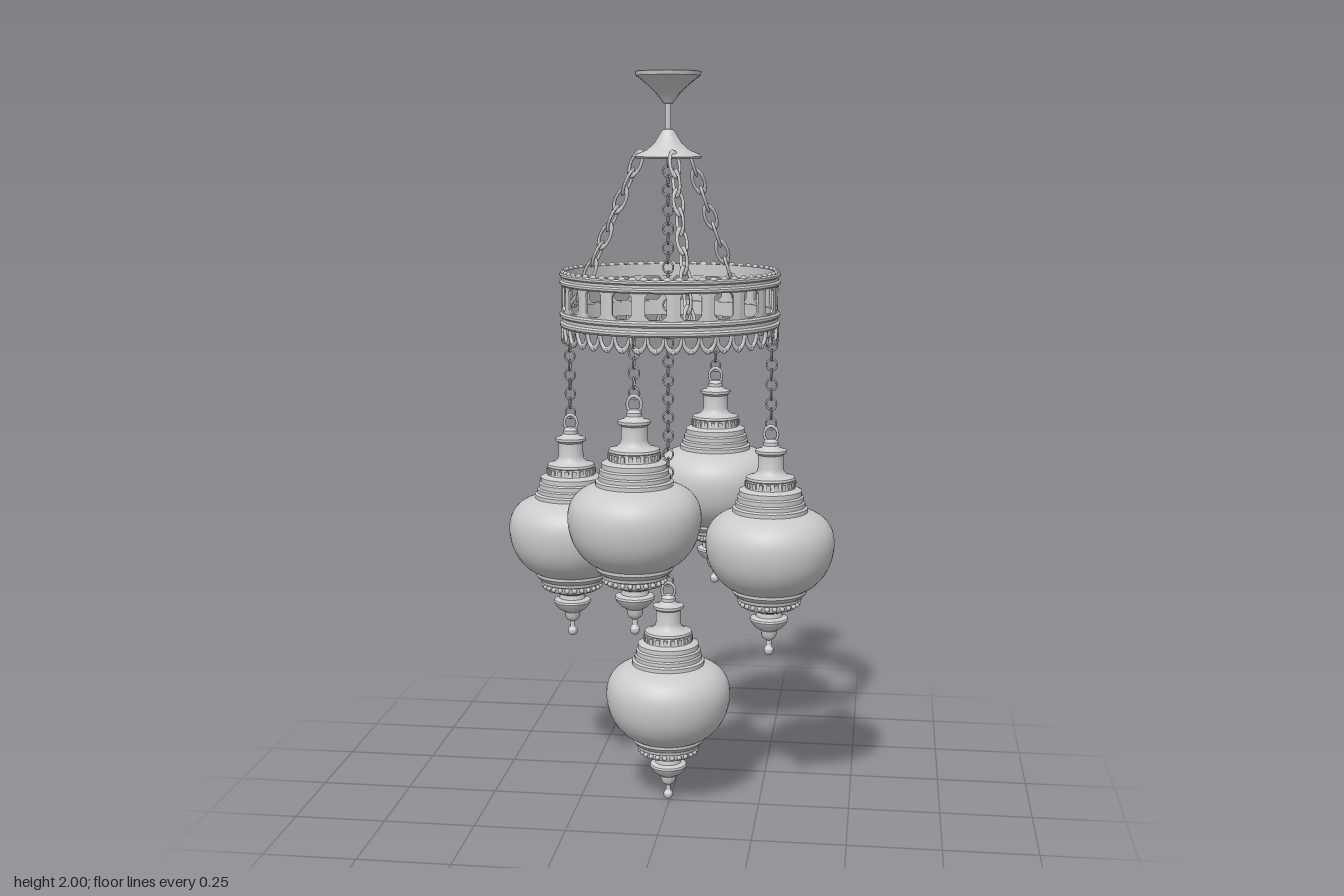
import * as THREE from 'three';
import { mergeGeometries, toCreasedNormals } from 'three/addons/utils/BufferGeometryUtils.js';

const metal = new THREE.MeshStandardMaterial({ color: 0xcccccc, side: THREE.DoubleSide });
const CX = -0.005, CZ = -0.01;      // hanging axis
const RING_Z = -0.01, RING_R = 0.285;
const V = (x, y, z) => new THREE.Vector3(x, y, z);

function mesh(name, geometry) {
  const m = new THREE.Mesh(geometry, metal);
  m.name = name;
  return m;
}

// Turned part from [radius, height] pairs, bottom to top
function turned(name, pairs, segments = 40) {
  const pts = pairs.map(([r, y]) => new THREE.Vector2(r, y));
  return mesh(name, toCreasedNormals(new THREE.LatheGeometry(pts, segments), 0.6));
}

// Copies of a geometry spaced round the y axis at a radius and height
function around(name, count, radius, y, make) {
  const parts = [];
  for (let i = 0; i < count; i++) {
    parts.push(make().translate(0, y, radius).rotateY((i / count) * Math.PI * 2));
  }
  return mesh(name, mergeGeometries(parts));
}

// Chain of alternately turned links between two points
function chain(name, a, b, pitch, halfWidth, halfLength, wire) {
  const dir = b.clone().sub(a), length = dir.length();
  const turn = new THREE.Quaternion().setFromUnitVectors(V(0, 1, 0), dir.normalize());
  const count = Math.max(1, Math.round(length / pitch));
  const parts = [];
  for (let i = 0; i < count; i++) {
    const link = new THREE.TorusGeometry(halfWidth, wire, 5, 14);
    link.scale(1, halfLength / halfWidth, 1);
    if (i % 2) link.rotateY(Math.PI / 2);
    link.applyQuaternion(turn);
    const p = a.clone().addScaledVector(dir, ((i + 0.5) / count) * length);
    parts.push(link.translate(p.x, p.y, p.z));
  }
  return mesh(name, mergeGeometries(parts));
}

// One hanging lamp, its tip at y = 0 and its loop top at y = 0.63
function lamp(name) {
  const g = new THREE.Group();
  g.name = name;

  g.add(turned('finial', [
    [0, 0], [0.008, 0.002], [0.013, 0.01], [0.013, 0.018], [0.007, 0.027], [0.007, 0.042],
    [0.016, 0.048], [0.02, 0.055], [0.022, 0.07], [0.036, 0.078], [0.047, 0.09], [0.052, 0.1],
    [0.05, 0.105], [0.036, 0.11], [0.034, 0.122], [0.05, 0.128], [0.056, 0.134], [0, 0.134],
  ]));
  g.add(turned('lowerCollar', [
    [0.05, 0.132], [0.072, 0.136], [0.076, 0.142], [0.076, 0.153], [0.086, 0.157],
    [0.088, 0.166], [0.094, 0.17], [0.1, 0.178], [0.1, 0.19], [0.09, 0.192],
  ]));

  // Bulging globe
  const outline = new THREE.SplineCurve([
    [0.098, 0.185], [0.122, 0.2], [0.146, 0.226], [0.164, 0.262], [0.172, 0.305],
    [0.168, 0.342], [0.152, 0.37], [0.128, 0.388], [0.098, 0.398],
  ].map(p => new THREE.Vector2(...p)));
  g.add(mesh('globe', new THREE.LatheGeometry(outline.getPoints(28), 48)));

  g.add(turned('upperCollar', [
    [0.095, 0.39], [0.1, 0.397], [0.1, 0.408], [0.093, 0.412], [0.093, 0.422], [0.089, 0.426],
    [0.089, 0.438], [0.084, 0.442], [0.084, 0.455], [0.074, 0.46], [0.066, 0.462],
    [0.062, 0.482], [0.066, 0.485], [0.064, 0.491], [0.046, 0.496], [0.037, 0.504],
    [0.034, 0.515], [0.034, 0.55], [0.042, 0.556], [0.042, 0.563], [0.026, 0.568],
    [0.02, 0.575], [0.02, 0.584], [0.012, 0.592], [0, 0.594],
  ]));

  const bead = () => new THREE.SphereGeometry(0.007, 7, 5);
  g.add(around('lowerBeads', 24, 0.078, 0.147, bead));
  g.add(around('upperStuds', 20, 0.063, 0.472, () => new THREE.BoxGeometry(0.011, 0.014, 0.01)));

  const loop = new THREE.TorusGeometry(0.018, 0.004, 6, 18);
  g.add(mesh('hangingLoop', loop.scale(1, 1.25, 1).translate(0, 0.604, 0)));
  return g;
}

// Pierced panel of the ring, one side of a 20-sided hoop
function panel(width) {
  const w = width / 2, h = 0.045;
  const s = new THREE.Shape([[-w, -h], [w, -h], [w, h], [-w, h]].map(p => new THREE.Vector2(...p)));
  const a = 0.027, b = 0.034, c = 0.01;
  s.holes.push(new THREE.Path([
    [-a, -b + c], [-a, b - c], [-a + c, b], [a - c, b],
    [a, b - c], [a, -b + c], [a - c, -b], [-a + c, -b],
  ].map(p => new THREE.Vector2(...p))));
  return new THREE.ExtrudeGeometry(s, { depth: 0.006, bevelEnabled: false });
}

function ornamentRing() {
  const g = new THREE.Group();
  g.name = 'ornamentRing';
  g.position.set(0, 0, RING_Z);
  const sides = 20, R = RING_R;

  g.add(around('piercedPanels', sides, R - 0.006, 1.413, () => panel(2 * R * Math.tan(Math.PI / sides))));

  // Ridged bands above and below the panels
  const band = (name, y, h) => g.add(turned(name, [
    [R - 0.008, y], [R + 0.004, y], [R + 0.009, y + h * 0.12], [R + 0.009, y + h * 0.28],
    [R + 0.003, y + h * 0.4], [R + 0.003, y + h * 0.6], [R + 0.009, y + h * 0.72],
    [R + 0.009, y + h * 0.88], [R + 0.004, y + h], [R - 0.008, y + h], [R - 0.008, y],
  ], sides * 2));
  band('upperBand', 1.445, 0.034);
  band('lowerBand', 1.335, 0.04);

  // Small scallops on top, hanging half loops below
  g.add(around('upperScallops', 60, R, 1.477, () => new THREE.SphereGeometry(0.012, 8, 5).scale(1, 0.8, 0.5)));
  g.add(around('hangingScallops', 40, R, 1.335, () => {
    const arc = new THREE.TorusGeometry(0.0205, 0.005, 5, 10, Math.PI).rotateZ(Math.PI);
    return arc.scale(1, 1.7, 1);
  }));
  g.add(around('scallopBeads', 40, R, 1.298, () => new THREE.SphereGeometry(0.007, 6, 5)));
  return g;
}

export function createModel() {
  const model = new THREE.Group();
  model.name = 'chandelier';

  // Ceiling canopy, rod and lower cone
  const canopy = new THREE.Group();
  canopy.name = 'canopy';
  canopy.position.set(CX, 0, CZ);
  canopy.add(turned('ceilingCup', [
    [0, 1.915], [0.014, 1.917], [0.018, 1.925], [0.032, 1.942], [0.052, 1.962],
    [0.072, 1.978], [0.085, 1.988], [0.087, 1.998], [0.08, 2], [0, 2],
  ]));
  canopy.add(turned('rod', [[0.008, 1.84], [0.008, 1.92]], 12));
  canopy.add(turned('lowerCone', [
    [0, 1.775], [0.084, 1.775], [0.089, 1.78], [0.084, 1.786], [0.056, 1.797],
    [0.036, 1.815], [0.022, 1.838], [0.014, 1.85], [0, 1.853],
  ]));
  model.add(canopy, ornamentRing());

  // Three chains from the cone to the ring
  for (const deg of [-51, 72, 188]) {
    const c = Math.cos(deg * Math.PI / 180), s = Math.sin(deg * Math.PI / 180);
    model.add(chain('supportChain',
      V(CX + 0.078 * c, 1.785, CZ + 0.078 * s),
      V(0.277 * c, 1.355, RING_Z + 0.277 * s), 0.053, 0.015, 0.032, 0.0045));
  }

  // Lamps [name, x, y, z, top of chain]
  const lamps = [
    ['centreLamp', CX, 0, CZ, 1.78],
    ['backLamp', 0.096, 0.56, -0.275, 1.335],
    ['rightLamp', -0.28, 0.455, -0.048, 1.335],
    ['leftLamp', 0.278, 0.455, 0.065, 1.335],
    ['frontLamp', -0.056, 0.56, 0.269, 1.335],
  ];
  for (const [name, x, y, z, top] of lamps) {
    const l = lamp(name);
    l.position.set(x, y, z);
    model.add(l, chain(name + 'Chain', V(x, y + 0.62, z), V(x, top, z), 0.025, 0.0135, 0.0155, 0.0025));
  }
  return model;
}
